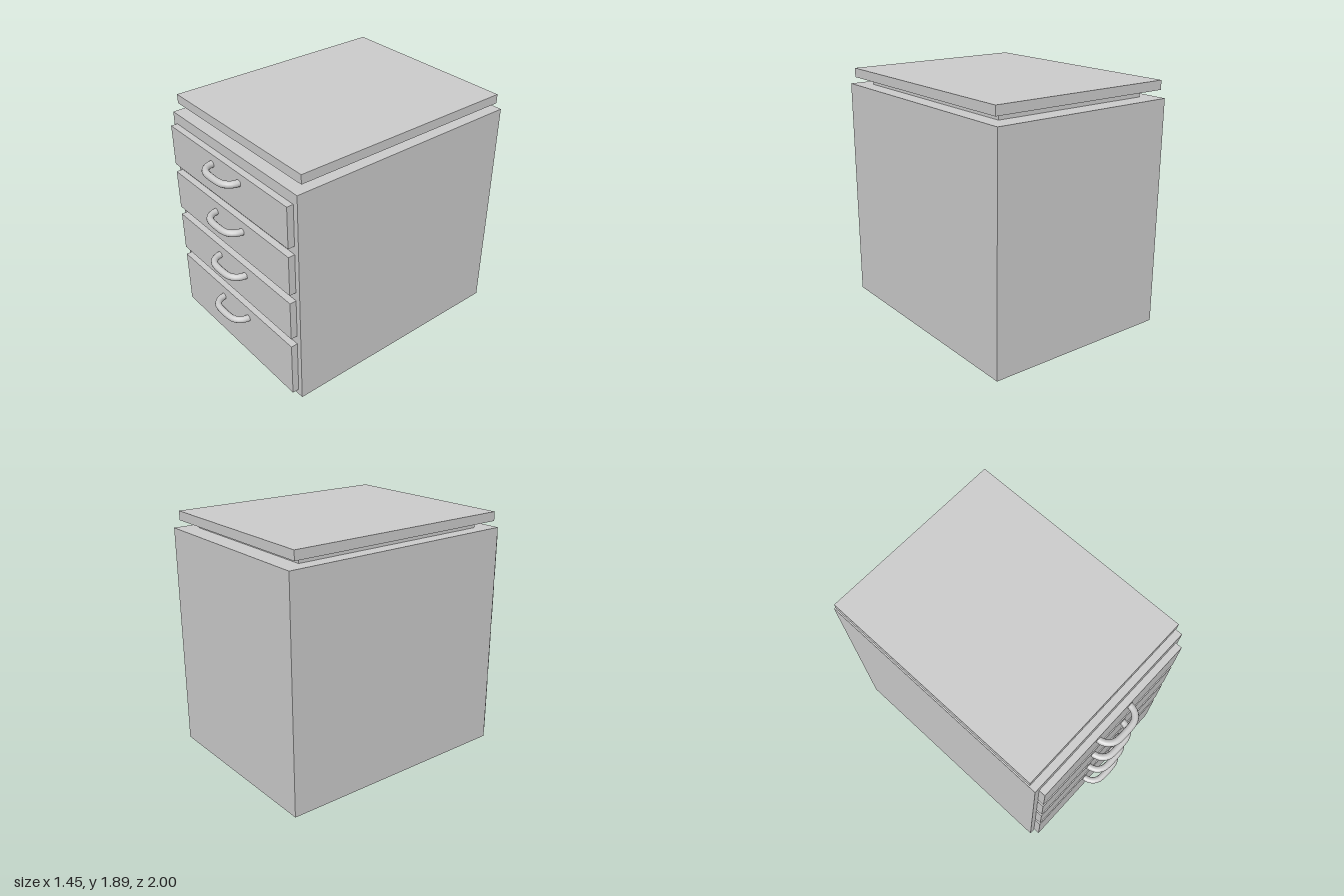
import * as THREE from 'three';

const material = new THREE.MeshStandardMaterial({ color: 0xcccccc });

// Box given by its limits on each axis
function box(name, [x0, x1], [y0, y1], [z0, z1]) {
  const mesh = new THREE.Mesh(new THREE.BoxGeometry(x1 - x0, y1 - y0, z1 - z0), material);
  mesh.position.set((x0 + x1) / 2, (y0 + y1) / 2, (z0 + z1) / 2);
  mesh.name = name;
  return mesh;
}

// Bow handle: two quarter bends joined by a straight grip
function handleGeometry() {
  const bend = 0.1, half = 0.06, steps = 4;
  const points = [new THREE.Vector3(-half - bend, 0, -0.02)];
  for (const side of [-1, 1]) {
    for (let i = 0; i <= steps; i++) {
      const a = (side < 0 ? i : steps - i) / steps * Math.PI / 2;
      points.push(new THREE.Vector3(side * (half + bend * Math.cos(a)), 0, bend * Math.sin(a)));
    }
  }
  points.push(new THREE.Vector3(half + bend, 0, -0.02));
  const path = new THREE.CatmullRomCurve3(points, false, 'centripetal');
  return new THREE.TubeGeometry(path, 20, 0.025, 12);
}

export function createModel() {
  const model = new THREE.Group();
  model.name = 'drawerCabinet';

  // Carcass, recessed plinth and neck, and overhanging top
  const insetX = [-0.625, 0.605], insetZ = [-0.86, 0.69];
  model.add(
    box('plinth', insetX, [0, 0.08], insetZ),
    box('body', [-0.725, 0.72], [0.08, 1.767], [-1, 0.83]),
    box('neck', insetX, [1.767, 1.82], insetZ),
    box('top', [-0.725, 0.705], [1.82, 1.888], [-0.96, 0.785]),
  );

  // Drawers: bottom, top and handle height
  const handle = handleGeometry();
  const drawers = [
    [0.125, 0.56, 0.468],
    [0.63, 0.938, 0.855],
    [1.005, 1.312, 1.228],
    [1.377, 1.687, 1.61],
  ];
  drawers.forEach(([bottom, top, grip], i) => {
    const drawer = new THREE.Group();
    drawer.name = `drawer${i + 1}`;
    const pull = new THREE.Mesh(handle, material);
    pull.name = 'handle';
    pull.position.set(0, grip, 0.876);
    drawer.add(box('drawerFront', [-0.685, 0.68], [bottom, top], [0.83, 0.88]), pull);
    model.add(drawer);
  });

  return model;
}
